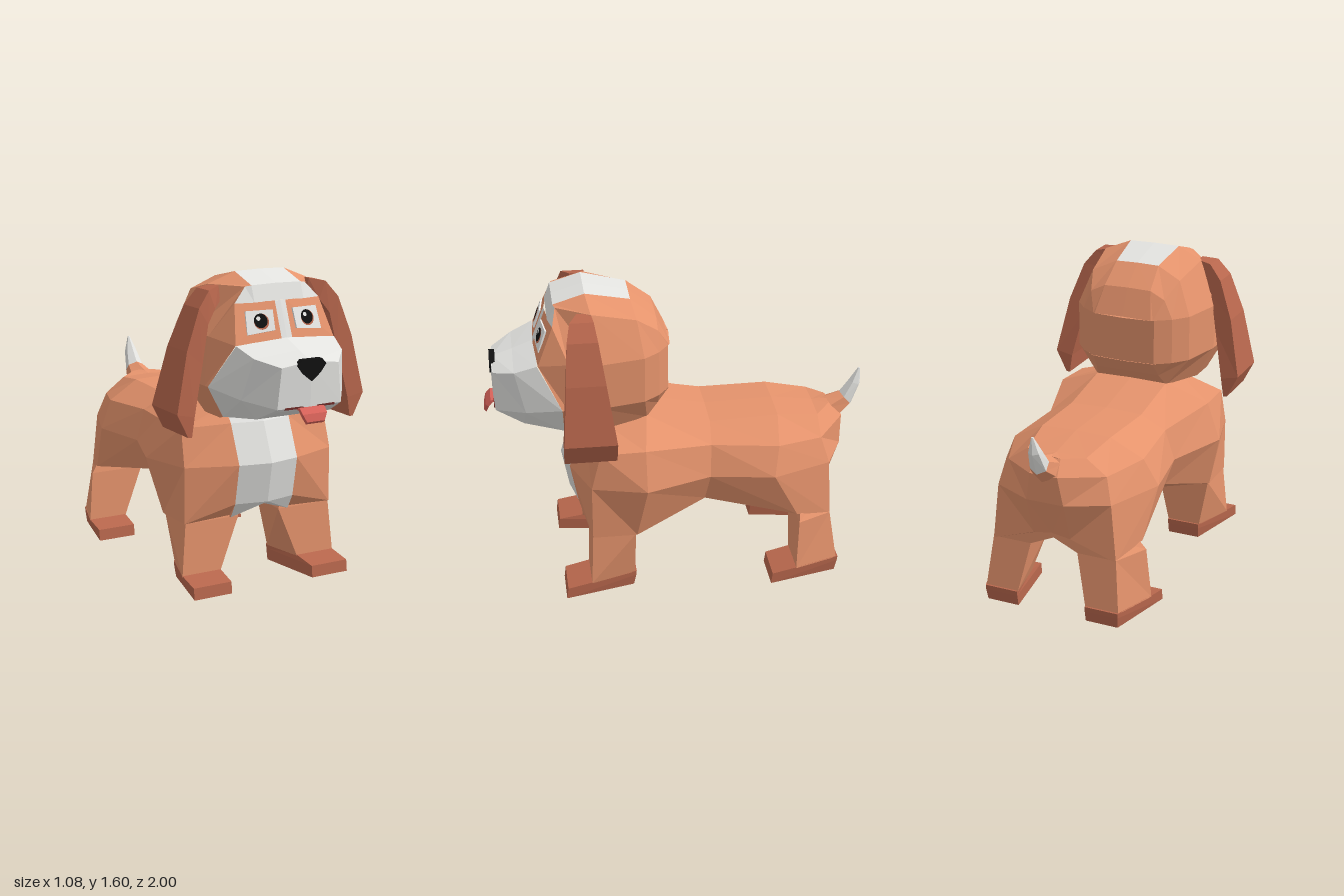
import * as THREE from 'three';

const mat = (name, color) => {
  const m = new THREE.MeshStandardMaterial({ color, flatShading: true });
  m.name = name;
  return m;
};

// Complete a half section with centre points at its top and bottom
const half = (pts, topLift, bottomLift) => {
  const a = pts[0], b = pts.at(-1);
  return [[0, a[1] + topLift, a[2]], ...pts, [0, b[1] + bottomLift, b[2]]];
};

// Collapse a half section onto the centre plane, to close an end with a bulge dz
const flatten = (ring, dz = 0) => ring.map(p => [0, Math.max(p[1], ring.at(-1)[1]), p[2] + dz]);

export function createModel() {
  const fur = mat('orange fur', 0xe5936c);
  const dark = mat('dark fur', 0xb8674d);
  const white = mat('white fur', 0xe4e4e1);
  const black = mat('black', 0x111111);
  const red = mat('tongue red', 0xd9635a);
  const maroon = mat('mouth', 0x6e2c28);
  const eyeWhite = mat('eye white', 0xf6f6f4);
  const dog = new THREE.Group();
  dog.name = 'dog';

  // Skin between rings of [x, y, z] points on the +x side, mirrored to -x
  function skin(name, rings, pick, closed = false) {
    const buckets = new Map();
    const tri = (m, a, b, c) => {
      const [A, B, C] = [a, b, c].map(p => new THREE.Vector3(...p));
      if (B.sub(A).cross(C.sub(A)).length() < 1e-6) return;
      if (!buckets.has(m)) buckets.set(m, []);
      const flip = p => [-p[0], p[1], p[2]];
      buckets.get(m).push(...a, ...b, ...c, ...flip(a), ...flip(c), ...flip(b));
    };
    for (let i = 0; i < rings.length - 1; i++) {
      const n = rings[i].length;
      for (let j = 0; j < (closed ? n : n - 1); j++) {
        const k = (j + 1) % n, m = pick(i, j), c = rings[i + 1][k];
        tri(m, rings[i][j], rings[i][k], c);
        tri(m, rings[i][j], c, rings[i + 1][j]);
      }
    }
    const pos = [], geo = new THREE.BufferGeometry(), mats = [];
    for (const [m, p] of buckets) {
      geo.addGroup(pos.length / 3, p.length / 3, mats.length);
      mats.push(m);
      pos.push(...p);
    }
    geo.setAttribute('position', new THREE.Float32BufferAttribute(pos, 3));
    geo.computeVertexNormals();
    const mesh = new THREE.Mesh(geo, mats.length > 1 ? mats : mats[0]);
    mesh.name = name;
    dog.add(mesh);
  }

  // Pair of four-sided limbs running downward, closed at both ends;
  // corners run outer back, outer front, inner front, inner back
  function limbs(name, m, rings) {
    const cap = r => r.map(() => [0, 1, 2].map(k => r.reduce((s, p) => s + p[k], 0) / r.length));
    skin(name, [cap(rings[0]), ...rings, cap(rings.at(-1))], () => m, true);
  }

  // Body, chest to rump: spine, shoulder, flank, low flank, belly
  const body = [
    [[.17, .9, .44], [.17, .84, .49], [.17, .64, .575], [.17, .43, .535], [.17, .35, .49]],
    [[.19, .9, .4], [.42, .83, .43], [.43, .64, .48], [.43, .35, .48], [.17, .35, .47]],
    [[.2, .93, .17], [.43, .84, .2], [.5, .64, .2], [.43, .35, .25], [.2, .35, .25]],
    [[.2, .87, -.16], [.33, .8, -.15], [.38, .64, -.14], [.32, .48, -.12], [.24, .445, -.12]],
    [[.19, .88, -.52], [.36, .785, -.5], [.43, .64, -.47], [.4, .39, -.6], [.14, .39, -.59]],
    [[.16, .85, -.74], [.27, .77, -.74], [.31, .64, -.78], [.34, .34, -.79], [.13, .35, -.79]],
    [[.06, .86, -.82], [.075, .79, -.89], [.1, .64, -.88], [.1, .43, -.81], [.1, .42, -.79]],
  ].map(pts => half(pts, .007, (.47 - pts[4][1]) / 2));
  skin('body', [flatten(body[0], .035), ...body, flatten(body.at(-1))],
    (i, j) => (i === 0 || (j === 5 && i < 5)) ? white : fur);

  // Tail: centre y, z, radius and tilt of each ring
  const tail = [[.81, -.84, .08, .9], [.86, -.925, .05, .75], [.95, -.97, .033, 1.25], [1.03, -.993, .006, 1.4]]
    .map(([y, z, r, tilt]) => [0, 1, 2, 3].map(k => {
      const c = r * Math.cos(k * Math.PI / 3);
      return [k % 3 ? r * 0.866 : 0, y + c * Math.cos(tilt), z + c * Math.sin(tilt)];
    }));
  skin('tail', [...tail, flatten(tail[3])], i => i === 0 ? fur : white);

  // Legs and splayed feet share one footprint
  const box = (y, zb, zf, ob, of, inf, ib) => [[ob, y, zb], [of, y, zf], [inf, y, zf], [ib, y, zb]];
  for (const [name, dz, hip, hipX] of [['front', 0, .255, .42], ['back', -1.09, .3, .34]]) {
    const at = (y, zb, zf, ...x) => box(y, zb + dz, zf + dz, ...x);
    limbs(name + 'Legs', fur, [
      at(.45, hip + .02, .46, hipX - .07, .35, .17, .17),
      at(.35, hip, .48, hipX, .425, .12, .13),
      at(.08, .26, .493, .37, .45, .23, .19),
    ]);
    limbs(name + 'Feet', dark, [
      at(.085, .25, .493, .37, .45, .23, .19),
      at(.06, .253, .62, .37, .455, .24, .19),
      at(0, .265, .628, .365, .455, .24, .19),
    ]);
  }

  // Head, brow to back of skull: crown, upper crown, temple, cheek, jaw
  const head = [
    [[.14, 1.47, .66], [.24, 1.47, .64], [.28, 1.28, .72], [.37, 1.07, .61], [.28, .91, .6]],
    [[.14, 1.55, .63], [.17, 1.545, .62], [.345, 1.31, .57], [.37, 1.07, .58], [.28, .9, .57]],
    [[.14, 1.6, .47], [.28, 1.545, .45], [.37, 1.31, .42], [.37, 1.07, .42], [.28, .9, .42]],
    [[.12, 1.55, .24], [.25, 1.49, .22], [.32, 1.31, .19], [.32, 1.07, .19], [.2, .92, .17]],
    [[.13, 1.45, .11], [.21, 1.41, .11], [.255, 1.31, .11], [.255, 1.07, .11], [.18, .99, .11]],
    [[.16, 1.31, .045], [.17, 1.31, .05], [.175, 1.31, .055], [.175, 1.07, .055], [.17, 1.07, .05]],
  ].map(pts => half(pts, .003, 0));
  skin('head', [...head, flatten(head.at(-1), -.012)],
    (i, j) => (j === 0 && i < 3) || (i === 0 && j === 1) ? white : fur);

  // Face panel with a white bridge between the eyes
  skin('facePanel', [
    [[0, 1.473, .67], [0, 1.3, .735]],
    [[.03, 1.473, .667], [.03, 1.298, .734]],
    [[.24, 1.47, .64], [.28, 1.28, .72]],
  ], i => i === 0 ? white : fur);

  // Muzzle, nose end to cheeks
  const muzzle = [
    [[.16, 1.2, .945], [.18, 1, .94], [.16, .985, .925]],
    [[.25, 1.235, .84], [.29, 1.03, .79], [.21, .93, .8]],
    [[.28, 1.28, .725], [.37, 1.07, .61], [.28, .91, .6]],
  ].map(pts => half(pts, .022, 0));
  skin('muzzle', [flatten(muzzle[0], .01), ...muzzle], () => white);

  // Ears, top to tip: outer x, y, inner x, y, back and front z
  limbs('ears', dark, [
    [.26, 1.545, .25, 1.47, .45, .52],
    [.335, 1.53, .3, 1.44, .44, .56],
    [.4, 1.45, .35, 1.37, .425, .58],
    [.475, 1.25, .39, 1.18, .395, .595],
    [.54, .95, .445, .93, .35, .615],
    [.48, .83, .46, .83, .35, .615],
  ].map(([xo, yo, xi, yi, zb, zf]) => [[xo, yo, zb], [xo, yo, zf], [xi, yi, zf], [xi, yi, zb]]));

  // Flat plate cut from an outline
  const plate = (name, pts, m, depth, parent, z) => {
    const shape = new THREE.Shape(pts.map(p => new THREE.Vector2(...p)));
    const mesh = new THREE.Mesh(new THREE.ExtrudeGeometry(shape, { depth, bevelEnabled: false }), m);
    mesh.name = name;
    mesh.position.z = z;
    parent.add(mesh);
  };

  // Eyes
  for (const s of [1, -1]) {
    const eye = new THREE.Group();
    eye.name = s > 0 ? 'leftEye' : 'rightEye';
    eye.position.set(s * .13, 1.383, .693);
    eye.rotation.set(-.35, s * .11, 0);
    dog.add(eye);
    plate('eyeWhite', [[-.07, -.052], [.08, -.062], [.07, .055], [-.075, .05]].map(([x, y]) => [s * x, y]), eyeWhite, .009, eye, 0);
    for (const [name, r, m, x, z] of [['iris', .04, dark, .004, .011], ['pupil', .036, black, 0, .013], ['glint', .011, eyeWhite, -.012, .015]]) {
      const disc = new THREE.Mesh(new THREE.CircleGeometry(r, 16), m);
      disc.name = name;
      disc.position.set(x, -x, z);
      eye.add(disc);
    }
  }

  // Nose, mouth line and curled tongue
  plate('nose', [[0, 1.125], [.05, 1.165], [.08, 1.205], [.055, 1.232], [-.055, 1.232], [-.08, 1.205], [-.05, 1.165]], black, .03, dog, .93);
  const mouth = new THREE.Mesh(new THREE.BoxGeometry(.28, .01, .04), maroon);
  mouth.name = 'mouth';
  mouth.position.set(0, 1, .928);
  dog.add(mouth);
  const tongue = [[.065, 1, .88, 0], [.07, 1, .965, .01], [.068, .975, .99, .015], [.05, .938, 1, .012]]
    .map(([w, y, z, dz]) => [[0, y, z], [w, y, z], [w, y - .012, z - dz], [0, y - .012, z - dz]]);
  skin('tongue', [flatten(tongue[3]), ...tongue.reverse()], () => red);

  return dog;
}
